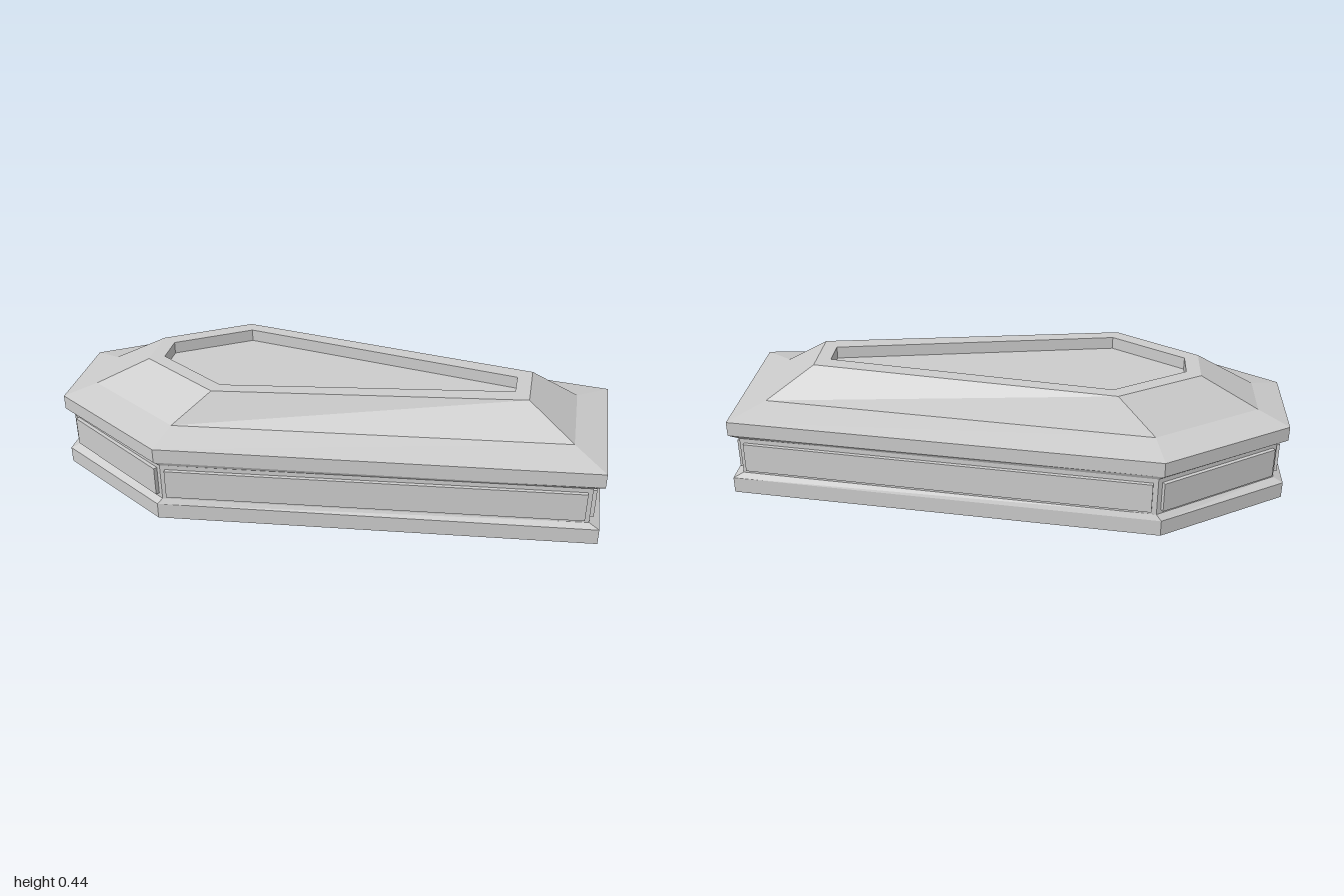
import * as THREE from 'three';

const material = new THREE.MeshStandardMaterial({ color: 0xcccccc, flatShading: true });

// Six-sided outline at height y, mirrored in z, from [x, z] of head, shoulder and foot
function ring(y, head, shoulder, foot) {
  const half = [foot, shoulder, head];
  return [
    ...half.map(([x, z]) => [x, z]).slice(0, 1),
    ...half.map(([x, z]) => [x, -z]),
    head, shoulder,
  ].map(([x, z]) => new THREE.Vector3(x, y, z));
}

// Joins consecutive rings with flat faces; caps either end if asked
function loft(name, rings, { startCap = false, endCap = false } = {}) {
  const points = [];
  const n = rings[0].length;
  for (let k = 0; k + 1 < rings.length; k++) {
    for (let i = 0; i < n; i++) {
      const j = (i + 1) % n;
      const [a, b, c, d] = [rings[k][i], rings[k][j], rings[k + 1][j], rings[k + 1][i]];
      points.push(a, b, c, a, c, d);
    }
  }
  const first = rings[0], last = rings[rings.length - 1];
  for (let i = 1; i + 1 < n; i++) {
    if (startCap) points.push(first[0], first[i + 1], first[i]);
    if (endCap) points.push(last[0], last[i], last[i + 1]);
  }
  const geometry = new THREE.BufferGeometry().setFromPoints(points);
  geometry.computeVertexNormals();
  const mesh = new THREE.Mesh(geometry, material);
  mesh.name = name;
  return mesh;
}

const outer = [[-1, 0.177], [-0.55, 0.461], [1, 0.295]];
const inner = [[-0.963, 0.17], [-0.532, 0.451], [0.962, 0.285]];
const WALL_LOW = 0.08, WALL_HIGH = 0.222;

// One wall between two body corners, with a sunken rectangular panel
function panelWall(a, b) {
  const along = b.clone().sub(a);
  const length = along.length();
  along.normalize();
  const inward = new THREE.Vector3(0, 1, 0).cross(along);
  const rect = (margin, low, high, depth) =>
    [[margin, low], [length - margin, low], [length - margin, high], [margin, high]].map(([s, y]) =>
      a.clone().addScaledVector(along, s).addScaledVector(inward, depth).setY(y));
  return loft('sidePanel', [
    rect(0, WALL_LOW, WALL_HIGH, 0),
    rect(0.017, 0.095, 0.205, 0),
    rect(0.017, 0.095, 0.205, -0.014),
  ], { endCap: true });
}

export function createModel() {
  const model = new THREE.Group();
  model.name = 'coffin';

  // Plinth with a sloped upper edge
  model.add(loft('base', [
    ring(0, ...outer),
    ring(0.06, ...outer),
    ring(WALL_LOW, ...inner),
  ], { startCap: true }));

  // Six panelled walls
  const body = new THREE.Group();
  body.name = 'body';
  const corners = ring(WALL_LOW, ...inner);
  corners.forEach((corner, i) => body.add(panelWall(corner, corners[(i + 1) % corners.length])));
  model.add(body);

  // Lid: flared lip, shallow slope, steep slope, rim and sunken top
  const rim = [[-0.632, 0.056], [-0.37, 0.218], [0.663, 0.052]];
  model.add(loft('lid', [
    ring(WALL_HIGH, ...inner),
    ring(0.237, ...outer),
    ring(0.291, ...outer),
    ring(0.32, [-0.893, 0.105], [-0.52, 0.339], [0.885, 0.173]),
    ring(0.437, [-0.683, 0.085], [-0.387, 0.268], [0.715, 0.103]),
    ring(0.437, ...rim),
    ring(0.392, ...rim),
  ], { endCap: true }));

  return model;
}
